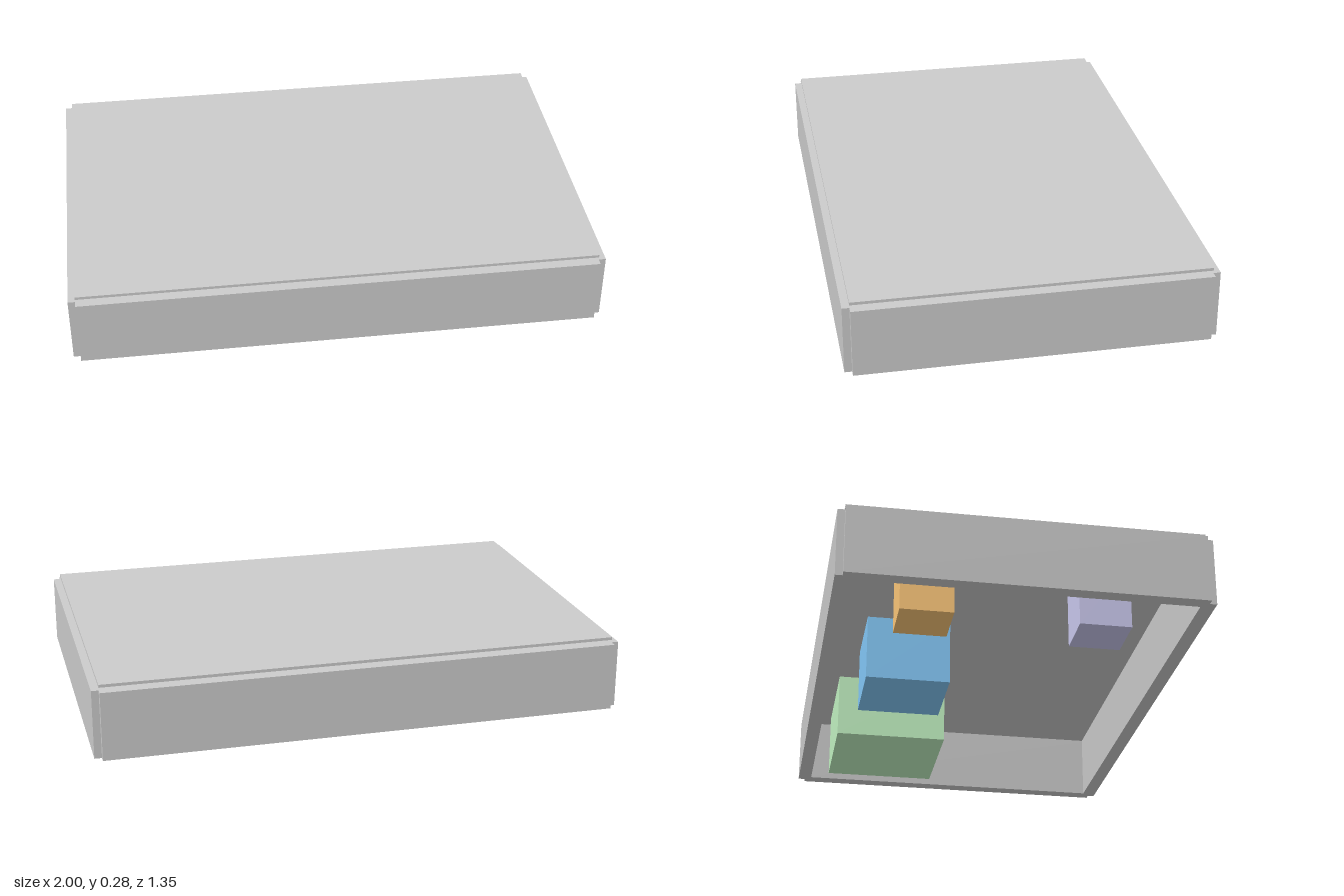
import * as THREE from 'three';

const HALF_X = 0.973, HALF_Z = 0.649; // wall centre lines
const WALL_H = 0.26, WALL_T = 0.054;

// Box standing with its base at height y
function addBox(group, name, [w, h, d], [x, y, z], color = 0xcccccc) {
  const mesh = new THREE.Mesh(
    new THREE.BoxGeometry(w, h, d),
    new THREE.MeshStandardMaterial({ color })
  );
  mesh.name = name;
  mesh.position.set(x, y + h / 2, z);
  group.add(mesh);
}

export function createModel() {
  const house = new THREE.Group();
  house.name = 'house';

  // Outer walls, centred on the edges of the plan so the corners stay notched
  for (const s of [1, -1]) {
    addBox(house, s > 0 ? 'frontWall' : 'backWall', [HALF_X * 2, WALL_H, WALL_T], [0, 0, s * HALF_Z]);
    addBox(house, s > 0 ? 'leftWall' : 'rightWall', [WALL_T, WALL_H, HALF_Z * 2], [s * HALF_X, 0, 0]);
  }

  // Flat roof floating just above the walls
  addBox(house, 'roof', [HALF_X * 2, 0.011, HALF_Z * 2], [0, 0.27, 0]);

  // Coloured room blocks: name, width, depth, x, z, color
  const rooms = [
    ['hall', 0.465, 0.45, 0.649, -0.324, 0xc4f5c4],
    ['bedroom', 0.328, 0.328, 0, -0.324, 0x85cbfb],
    ['kitchen', 0.198, 0.198, -0.66, -0.33, 0xffc97a],
    ['bathroom', 0.194, 0.194, -0.652, 0.327, 0xcccaf0],
  ];
  for (const [name, w, d, x, z, color] of rooms) {
    addBox(house, name, [w, WALL_H, d], [x, 0, z], color);
  }
  return house;
}
